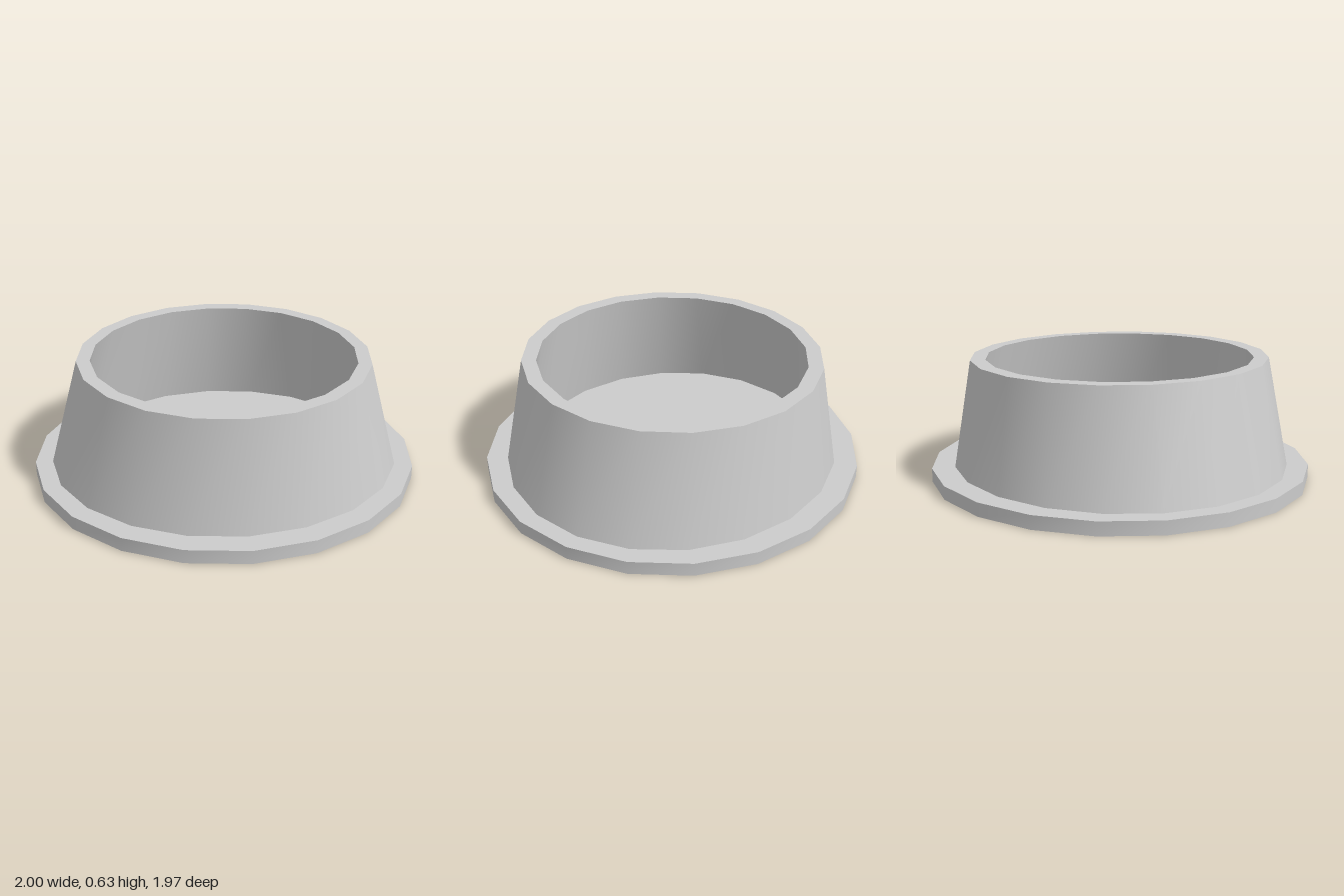
import * as THREE from 'three';
import { mergeGeometries } from 'three/addons/utils/BufferGeometryUtils.js';

const SIDES = 20;
const material = new THREE.MeshStandardMaterial({ color: 0xcccccc });

// Smooth band between two elliptical loops [rx, y, rz]; faces outward when going up
function band(p, q) {
  const pos = [], index = [];
  for (let i = 0; i < SIDES; i++) {
    const a = (i / SIDES) * Math.PI * 2;
    for (const [rx, y, rz] of [p, q]) pos.push(rx * Math.cos(a), y, rz * Math.sin(a));
    const j = (i + 1) % SIDES;
    index.push(2 * i, 2 * i + 1, 2 * j, 2 * j, 2 * i + 1, 2 * j + 1);
  }
  const g = new THREE.BufferGeometry();
  g.setAttribute('position', new THREE.Float32BufferAttribute(pos, 3));
  g.setIndex(index);
  g.computeVertexNormals();
  return g;
}

// Bands through a list of loops, with a sharp edge at every loop
function part(name, loops) {
  const bands = loops.slice(1).map((q, i) => band(loops[i], q));
  const mesh = new THREE.Mesh(mergeGeometries(bands), material);
  mesh.name = name;
  return mesh;
}

export function createModel() {
  const group = new THREE.Group();
  group.name = 'bowl';
  const baseTop = 0.07, rimTop = 0.63;

  // Flat base disc: underside, edge, top face (also the bowl floor)
  group.add(part('base', [
    [0, 0, 0],
    [1, 0, 0.985],
    [1, baseTop, 0.985],
    [0, baseTop, 0],
  ]));

  // Tapered wall: outside, rim, inside
  group.add(part('wall', [
    [0.91, baseTop, 0.863],
    [0.757, rimTop, 0.776],
    [0.687, rimTop, 0.697],
    [0.83, baseTop, 0.78],
  ]));

  return group;
}
